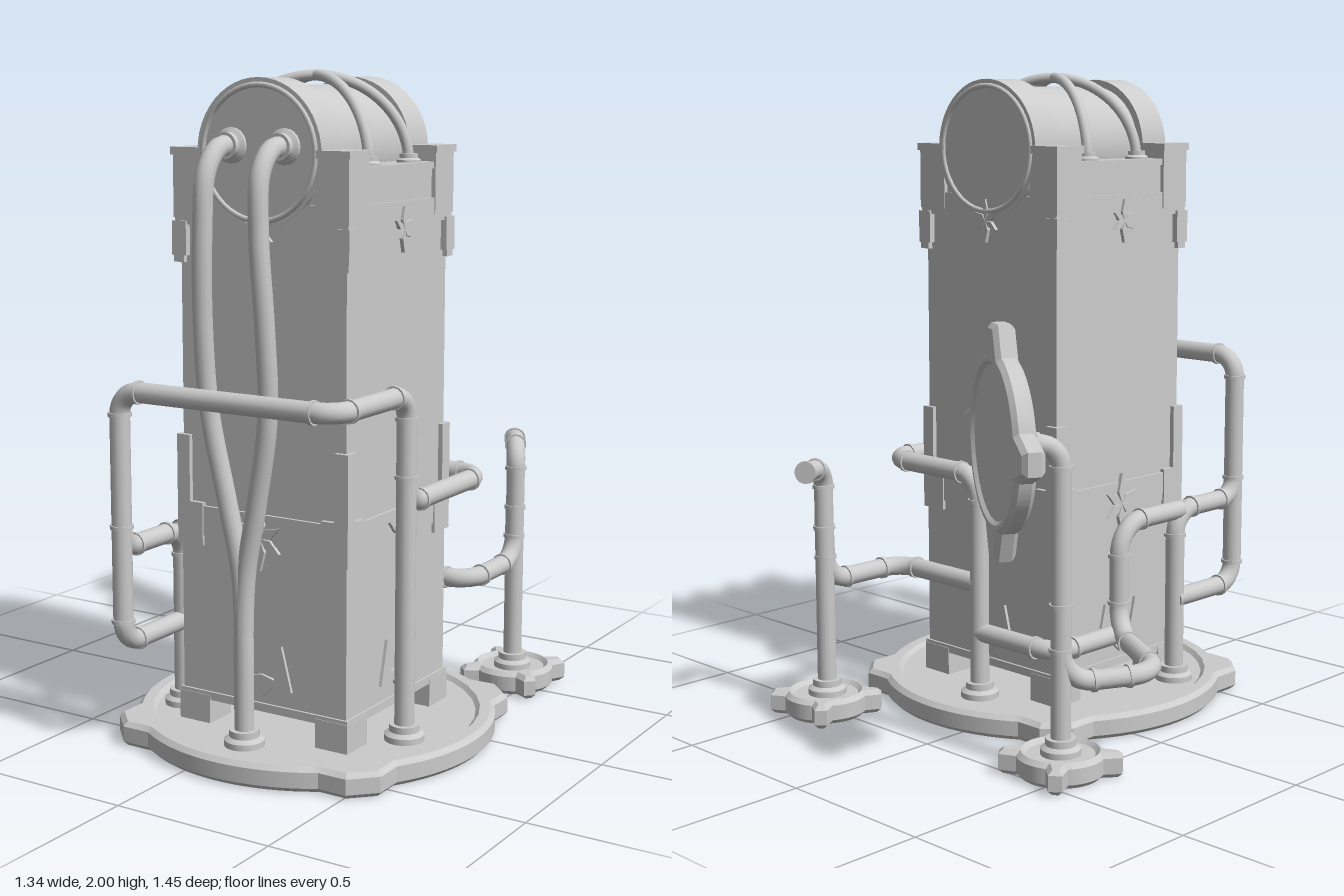
import * as THREE from 'three';
import { toCreasedNormals } from 'three/addons/utils/BufferGeometryUtils.js';

const mat = new THREE.MeshStandardMaterial({ color: 0xcccccc, side: THREE.DoubleSide });
const V = (x, y, z) => new THREE.Vector3(x, y, z);

function add(parent, name, geo, x = 0, y = 0, z = 0) {
  const m = new THREE.Mesh(geo, mat);
  m.name = name;
  m.position.set(x, y, z);
  parent.add(m);
  return m;
}

// Box given by its bottom height and top height
const block = (p, name, w, y0, y1, d, x = 0, z = 0) =>
  add(p, name, new THREE.BoxGeometry(w, y1 - y0, d), x, (y0 + y1) / 2, z);

const extrude = (shape, depth, bevel = 0) => toCreasedNormals(new THREE.ExtrudeGeometry(shape, {
  depth: depth - 2 * bevel, curveSegments: 18, bevelEnabled: bevel > 0, bevelSegments: 1,
  bevelSize: bevel, bevelThickness: bevel, bevelOffset: -bevel,
}).translate(0, 0, bevel), 0.5);

// Disc outline with four tapered tabs and an optional round hole
function tabbed(r, tipR, baseA, tipA, rot, hole) {
  const s = new THREE.Shape();
  for (let k = 0; k < 4; k++) {
    const a = rot + k * Math.PI / 2;
    for (const t of [-tipA, tipA]) {
      const x = tipR * Math.cos(a + t), y = tipR * Math.sin(a + t);
      if (k === 0 && t < 0) s.moveTo(x, y); else s.lineTo(x, y);
    }
    s.absarc(0, 0, r, a + baseA, a + Math.PI / 2 - baseA, false);
  }
  s.closePath();
  if (hole) s.holes.push(new THREE.Path().absarc(0, 0, hole, 0, Math.PI * 2, true));
  return s;
}

const tube = (path, n, r) => new THREE.TubeGeometry(path, n, r, 14);

// Straight pipe runs joined by round elbows with collars at every joint
function pipe(parent, name, pts, bend = 0.08, r = 0.03) {
  const g = new THREE.Group();
  g.name = name;
  parent.add(g);
  const p = pts.map(a => V(...a));
  const collar = (at, dir) => {
    const c = add(g, 'pipeCollar', new THREE.CylinderGeometry(r + 0.005, r + 0.005, 0.012, 14));
    c.position.copy(at);
    c.quaternion.setFromUnitVectors(V(0, 1, 0), dir);
  };
  let from = p[0];
  for (let i = 1; i < p.length; i++) {
    const dir = p[i].clone().sub(p[i - 1]).normalize();
    const last = i === p.length - 1;
    let to = p[i];
    if (!last) {
      const next = p[i + 1].clone().sub(p[i]);
      const b = Math.min(bend, next.length() * 0.5, p[i].distanceTo(p[i - 1]) * 0.5);
      next.normalize();
      to = p[i].clone().addScaledVector(dir, -b);
      const out = p[i].clone().addScaledVector(next, b);
      // cubic handles give a circular elbow
      const c1 = to.clone().lerp(p[i], 0.55), c2 = out.clone().lerp(p[i], 0.55);
      add(g, 'pipeElbow', tube(new THREE.CubicBezierCurve3(to, c1, c2, out), 8, r));
      collar(out, next);
      add(g, 'pipeRun', tube(new THREE.LineCurve3(from, to), 1, r));
      from = out;
    } else add(g, 'pipeRun', tube(new THREE.LineCurve3(from, to), 1, r));
    collar(to, dir);
  }
}

// Stepped foot ring around a pipe
const flangeGeo = () => new THREE.LatheGeometry([[0, 0], [0.06, 0], [0.06, 0.02], [0.045, 0.03],
  [0.045, 0.05], [0, 0.05]].map(a => new THREE.Vector2(...a)), 20);
const flange = (p, x, z, y = 0.06, s = 1) =>
  add(p, 'pipeFlange', toCreasedNormals(flangeGeo(), 0.5), x, y, z).scale.setScalar(s);

function tabbedBase(p, name, x, z, r, tipR, baseA, tipA, rot, inner) {
  const b = new THREE.Group();
  b.name = name;
  b.position.set(x, 0, z);
  p.add(b);
  add(b, 'baseRim', extrude(tabbed(r, tipR, baseA, tipA, rot, inner), 0.075, 0.014).rotateX(-Math.PI / 2));
  add(b, 'baseFloor', new THREE.CylinderGeometry(inner + 0.01, inner + 0.01, 0.062, 48), 0, 0.031, 0);
}

// Flat spike outline: sharp ends, widest at a given fraction
function spike(len, w) {
  const s = new THREE.Shape([[0, 0], [w, len * 0.4], [0, len], [-w, len * 0.4]].map(a => new THREE.Vector2(...a)));
  return extrude(s, 0.012);
}

function ornament(p, y, z, s) {
  for (let k = 0; k < 6; k++) {
    const m = add(p, 'ornamentSpike', spike(k % 3 ? 0.055 : 0.07, 0.011), 0, y, z);
    m.rotation.z = k * Math.PI / 3;
    m.scale.set(s, s, 1);
  }
}

function buildTower(root) {
  const t = new THREE.Group();
  t.name = 'tower';
  t.position.set(0.12, 0, 0.175);
  root.add(t);
  block(t, 'lowerBody', 0.575, 0.14, 0.65, 0.575);
  block(t, 'bottomTrim', 0.59, 0.135, 0.16, 0.59);
  block(t, 'middleBand', 0.585, 0.64, 0.73, 0.585);
  block(t, 'upperBody', 0.565, 0.73, 1.57, 0.565);
  block(t, 'topBand', 0.59, 1.56, 1.63, 0.59);
  block(t, 'deck', 0.57, 1.63, 1.72, 0.57);
  block(t, 'deckPlate', 0.585, 1.715, 1.735, 0.39);
  // Corner hardware
  for (const sx of [-1, 1]) for (const sz of [-1, 1]) {
    const corner = (name, w, y0, y1, half) =>
      block(t, name, w, y0, y1, w, sx * (half - w / 2), sz * (half - w / 2));
    corner('foot', 0.11, 0.06, 0.15, 0.297);
    corner('lowerCornerPlate', 0.09, 0.61, 0.74, 0.297);
    corner('cornerStrip', 0.045, 0.72, 0.94, 0.297);
    corner('cornerClaw', 0.05, 1.47, 1.57, 0.302);
    corner('cornerClawTip', 0.035, 1.45, 1.48, 0.298);
    corner('topCornerBlock', 0.11, 1.58, 1.77, 0.298);
    corner('topCornerCap', 0.12, 1.76, 1.782, 0.304);
  }
  // Ornaments on each face
  for (let k = 0; k < 4; k++) {
    const f = new THREE.Group();
    f.name = 'faceOrnaments';
    f.rotation.y = k * Math.PI / 2;
    t.add(f);
    ornament(f, 1.55, 0.292, 0.95);
    ornament(f, 0.66, 0.29, 1.4);
    for (const s of [-1, 1]) {
      const tri = new THREE.Shape([[s * 0.035, 0.2], [s * 0.105, 0.21], [s * 0.07, 0.345]].map(a => new THREE.Vector2(...a)));
      add(f, 'toothPlate', extrude(tri, 0.012), 0, 0, 0.285);
    }
    const low = new THREE.Shape([[0, 0.18], [0.06, 0.235], [0, 0.25], [-0.06, 0.235]].map(a => new THREE.Vector2(...a)));
    add(f, 'toothPlate', extrude(low, 0.012), 0, 0, 0.285);
  }
  // Drum lying on top, front to back
  const drum = (name, r, len, z) => add(t, name, new THREE.CylinderGeometry(r, r, len, 48).rotateX(Math.PI / 2), 0, 1.77, z);
  drum('drumBody', 0.188, 0.42, 0);
  for (const s of [-1, 1]) {
    drum('drumEnd', 0.21, 0.11, s * 0.243);
    add(t, 'drumEndRim', new THREE.TorusGeometry(0.19, 0.008, 8, 48), 0, 1.77, s * 0.298);
    // Crossed straps over the drum
    const pts = [];
    for (let i = 0; i <= 16; i++) {
      const a = i / 16 * Math.PI;
      pts.push(V(0.25 * Math.cos(a), 1.73 + 0.255 * Math.sin(a), s * 0.113 * Math.cos(a)));
    }
    add(t, 'drumCable', tube(new THREE.CatmullRomCurve3(pts), 40, 0.016));
    for (const sx of [-1, 1]) flange(t, sx * 0.25, s * 0.113, 1.73, 0.6);
  }
}

// Two hoses from the drum merging into one foot
function buildHoses(root) {
  for (const s of [-1, 1]) {
    const path = [[0.09, 1.79, 0.46], [0.09, 1.785, 0.54], [0.091, 1.72, 0.598], [0.095, 1.55, 0.612], [0.105, 1.3, 0.6],
      [0.1, 1.05, 0.58], [0.05, 0.78, 0.565], [0.01, 0.58, 0.56], [0, 0.4, 0.56], [0, 0.07, 0.56]];
    add(root, 'frontHose', tube(new THREE.CatmullRomCurve3(path.map(([x, y, z]) => V(0.12 + s * x, y, z))), 70, 0.029));
    const c = add(root, 'hoseSocket', toCreasedNormals(flangeGeo(), 0.5), 0.12 + s * 0.09, 1.79, 0.465);
    c.rotation.x = Math.PI / 2;
    c.scale.setScalar(0.85);
  }
  flange(root, 0.12, 0.56);
}

function buildPanel(root) {
  const p = new THREE.Group();
  p.name = 'roundPanel';
  p.position.set(-0.37, 0.98, -0.545);
  p.rotation.y = -0.52;
  root.add(p);
  add(p, 'panelRim', extrude(tabbed(0.255, 0.335, 0.27, 0.1, 0, 0.215), 0.065, 0.014), 0, 0, -0.0325);
  add(p, 'panelPlate', new THREE.CylinderGeometry(0.225, 0.225, 0.045, 48).rotateX(Math.PI / 2));
}

export function createModel() {
  const root = new THREE.Group();
  root.name = 'pipedTower';
  tabbedBase(root, 'mainBase', 0.12, 0.17, 0.55, 0.605, 0.21, 0.083, Math.PI / 4, 0.49);
  tabbedBase(root, 'leftRearBase', -0.46, -0.4, 0.13, 0.18, 0.25, 0.11, -0.9, 0.1);
  tabbedBase(root, 'rightRearBase', 0.45, -0.52, 0.13, 0.175, 0.25, 0.11, Math.PI / 4, 0.1);
  buildTower(root);
  buildHoses(root);
  buildPanel(root);

  // Pipework
  pipe(root, 'frontFramePipe', [[0.49, 0.07, 0.27], [0.49, 1.09, 0.27], [0.49, 1.09, 0.655], [-0.245, 1.09, 0.655],
    [-0.245, 0.33, 0.655], [-0.245, 0.33, 0.36]], 0.07);
  pipe(root, 'sidePipe', [[0.49, 0.95, 0.27], [0.49, 0.77, 0.27], [0.49, 0.77, -0.2], [0.08, 0.77, -0.2], [0.08, 0.07, -0.2]]);
  pipe(root, 'footPipe', [[-0.245, 0.75, 0.655], [-0.245, 0.62, 0.655], [-0.245, 0.62, 0.36], [-0.245, 0.07, 0.36]]);
  pipe(root, 'sideReturnPipe', [[-0.245, 0.62, 0.38], [-0.245, 0.62, 0.09], [-0.245, 0.27, 0.09], [-0.595, 0.27, -0.12],
    [-0.46, 0.27, -0.4], [-0.46, 0.5, -0.4]], 0.1);
  pipe(root, 'rearLowPipe', [[0.08, 0.27, -0.2], [-0.245, 0.27, -0.2], [-0.245, 0.27, 0.09]]);
  pipe(root, 'rearBranchPipe', [[0.08, 0.425, -0.2], [0.45, 0.425, -0.2], [0.45, 0.425, -0.51], [0.45, 0.6, -0.515]]);
  pipe(root, 'rightRearPost', [[0.45, 0.07, -0.515], [0.45, 0.79, -0.515], [0.385, 0.8, -0.635]], 0.06);
  pipe(root, 'panelPost', [[-0.46, 0.07, -0.4], [-0.46, 0.97, -0.4], [-0.385, 0.97, -0.525]], 0.07);
  for (const [x, z] of [[0.49, 0.27], [0.08, -0.2], [-0.245, 0.36], [0.45, -0.515], [-0.46, -0.4]]) flange(root, x, z);
  return root;
}
